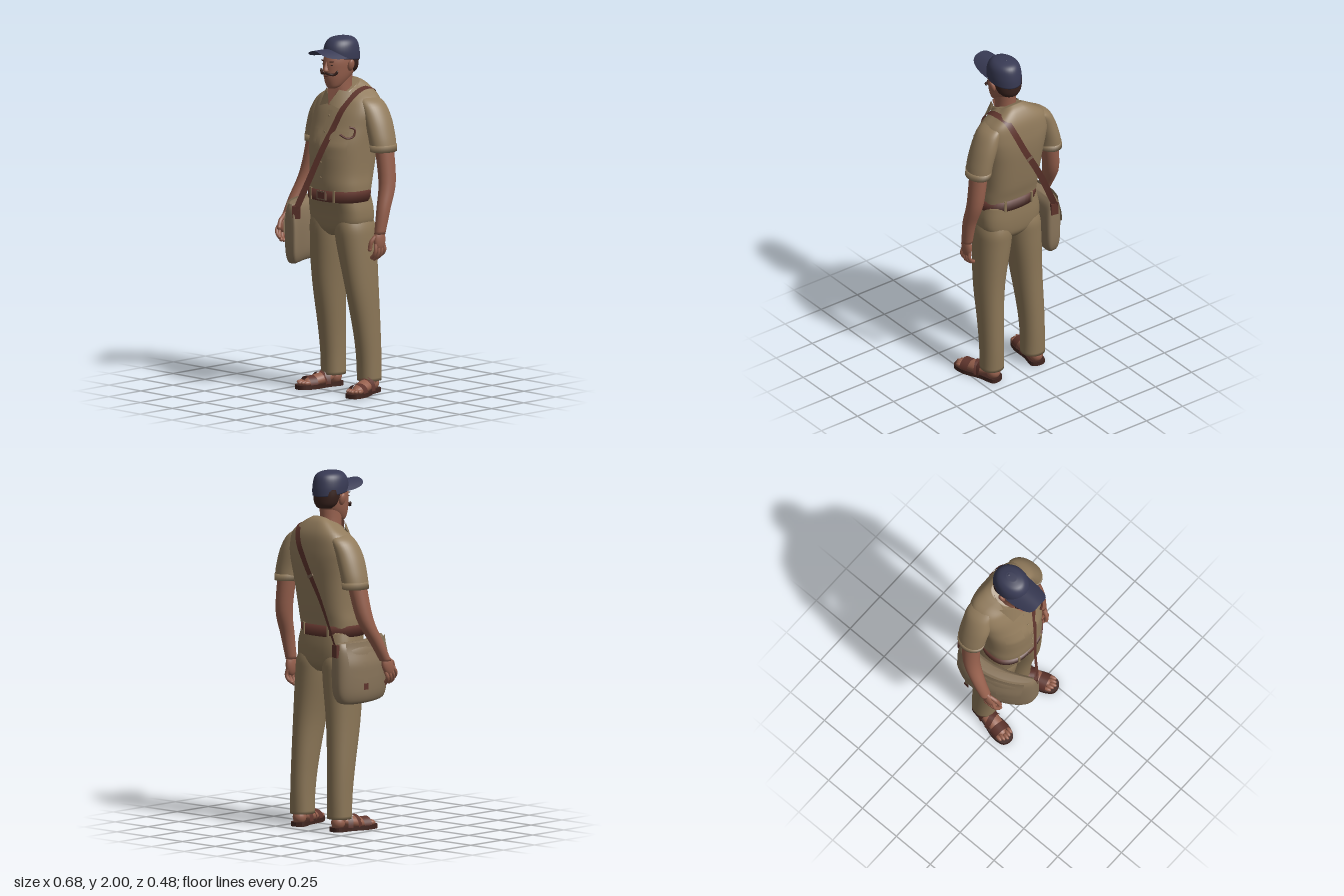
import * as THREE from 'three';

const mat = (name, color, double) => Object.assign(new THREE.MeshStandardMaterial({ color }), { name, side: double ? THREE.DoubleSide : THREE.FrontSide });

// Catmull-Rom between ring values
const cr = (a, b, c, d, t) => 0.5 * (2 * b + (c - a) * t + (2 * a - 5 * b + 4 * c - d) * t * t + (3 * b - a - 3 * c + d) * t * t * t);

// Smooth skin over horizontal oval rings [x, y, z, rx, rz, tilt], listed from bottom to top
function loft(rings, { power = 2, back = power, capped = true, n = 36, sub = 5, bend } = {}) {
  const pos = [], idx = [], last = rings.length - 1, rows = last * sub;
  const full = rings.map(r => [...r, 0].slice(0, 6));
  for (let i = 0; i <= rows; i++) {
    const k = Math.min(Math.floor(i / sub), last - 1), t = i / sub - k;
    const g = q => full[Math.max(0, Math.min(last, q))];
    const r = full[0].map((_, c) => cr(g(k - 1)[c], g(k)[c], g(k + 1)[c], g(k + 2)[c], t));
    for (let j = 0; j < n; j++) {
      const a = j / n * Math.PI * 2, s = Math.sin(a), c = Math.cos(a);
      const f = v => Math.sign(v) * Math.abs(v) ** (2 / (c < 0 ? back : power));
      pos.push(r[0] + r[3] * f(s), r[1] + r[5] * c, r[2] + r[4] * f(c));
      if (i < rows) {
        const p = i * n + j, q = i * n + (j + 1) % n;
        idx.push(p, q, q + n, p, q + n, p + n);
      }
    }
  }
  if (capped) {
    const b = pos.length / 3, top = rows * n;
    pos.push(...full[0].slice(0, 3), ...full[last].slice(0, 3));
    for (let j = 0; j < n; j++) idx.push(b, (j + 1) % n, j, b + 1, top + j, top + (j + 1) % n);
  }
  if (bend) for (let i = 0; i < pos.length; i += 3) pos[i] += bend(pos[i + 2]);
  return surface(pos, idx);
}

function surface(pos, idx) {
  const g = new THREE.BufferGeometry();
  g.setAttribute('position', new THREE.Float32BufferAttribute(pos, 3));
  g.setIndex(idx);
  g.computeVertexNormals();
  return g;
}

// Grid sheet from a rule u, v in 0..1 -> [x, y, z]
function sheet(rule, nu = 14, nv = 8) {
  const g = new THREE.PlaneGeometry(1, 1, nu, nv), p = g.attributes.position;
  for (let i = 0; i < p.count; i++) p.setXYZ(i, ...rule(p.getX(i) + 0.5, p.getY(i) + 0.5));
  g.computeVertexNormals();
  return g;
}

const path = pts => new THREE.CatmullRomCurve3(pts.map(p => new THREE.Vector3(...p)));
const tube = (pts, r, seg = 16) => new THREE.TubeGeometry(path(pts), seg, r, 8);

// Flat band that follows a path over the shoulder and faces away from the body
function ribbon(pts, width, seg) {
  const curve = path(pts);
  return sheet((u, v) => {
    const p = curve.getPoint(v), t = curve.getTangent(v), out = new THREE.Vector3(0.06, (p.y - 1.3) * 0.5, p.z + 0.07);
    return p.addScaledVector(t.cross(out).normalize(), (u - 0.5) * width).toArray();
  }, 1, seg);
}

const bagBend = z => -0.21 + 0.204 * z + 1.24 * z * z;
const TORSO = [[.015, 1.1, -.035, .174, .13], [.015, 1.17, -.038, .179, .142], [.015, 1.25, -.048, .178, .152], [.015, 1.4, -.062, .19, .163],
  [.015, 1.5, -.087, .201, .15], [.015, 1.58, -.103, .208, .134], [.015, 1.65, -.112, .184, .114, -.015], [.015, 1.695, -.1, .115, .092, -.035], [.015, 1.715, -.08, .07, .075, -.04]];

// Front of the shirt at x, y
function chest(x, y, off) {
  const k = Math.max(0, TORSO.findIndex(r => r[1] > y) - 1), a = TORSO[k], b = TORSO[k + 1];
  const t = (y - a[1]) / (b[1] - a[1]), m = i => a[i] + (b[i] - a[i]) * t;
  return [x, y, m(2) + off + m(4) * (1 - Math.abs((x - .015) / m(3)) ** 2.2) ** (1 / 2.2)];
}

export function createModel() {
  const root = new THREE.Group();
  const M = {
    shirt: mat('khaki shirt', 0x917b5c, true), trousers: mat('khaki trousers', 0x8b7657), bag: mat('canvas', 0x88745a, true),
    skin: mat('skin', 0x96604d, true), leather: mat('brown leather', 0x5e342c, true), cap: mat('navy cap', 0x383a54, true),
    hair: mat('dark hair', 0x38221d), sole: mat('dark sole', 0x40251f), metal: mat('dull buckle', 0x79614e),
  };
  const add = (name, geo, m, parent = root) => {
    const mesh = new THREE.Mesh(geo, m);
    mesh.name = name;
    parent.add(mesh);
    return mesh;
  };
  const ball = (name, m, p, s, parent) => {
    const b = add(name, new THREE.SphereGeometry(1, 20, 14), m, parent);
    b.position.set(...p);
    b.scale.set(...s);
    return b;
  };
  const box = (name, m, p, s, ry = 0) => {
    const b = add(name, new THREE.BoxGeometry(...s), m);
    b.position.set(...p);
    b.rotation.y = ry;
    return b;
  };

  // Shirt, placket, buttons and collar
  add('shirtBody', loft(TORSO, { power: 2.2, back: 3, n: 48 }), M.shirt);
  add('placket', sheet((u, v) => chest(u * .034, 1.16 + v * .43, .005), 3, 24), M.shirt);
  for (let i = 0; i < 5; i++) ball('button', M.shirt, chest(.017, 1.22 + i * .085, .006), [.006, .006, .003]);
  add('collarBand', loft([[.015, 1.655, -.075, .108, .105, -.035], [.015, 1.685, -.075, .094, .1, -.042], [.015, 1.708, -.07, .074, .087, -.042]], { capped: false }), M.shirt);
  add('openNeck', surface([-.03, 1.715, .01, .015, 1.615, .043, .06, 1.715, .01], [0, 1, 2]), M.skin);
  for (const s of [-1, 1]) {
    const c = [[.004, 1.628, .046], [.078, 1.606, .038], [.1, 1.69, -.045], [.05, 1.707, .012]].flatMap(([x, y, z]) => [.015 + s * x, y, z]);
    add('collarWing', surface(c, s > 0 ? [0, 1, 3, 1, 2, 3] : [0, 3, 1, 1, 3, 2]), M.shirt);
    // Chest pockets with scalloped flaps
    const px = u => .015 + s * (.05 + u * .1);
    add('pocket', sheet((u, v) => chest(px(u), 1.33 + v * .12, .004)), M.shirt);
    add('pocketFlap', sheet((u, v) => chest(px(u), 1.485 - (1 - v) * (.035 + .015 * Math.abs(Math.cos(u * Math.PI * 2))), .008)), M.shirt);
    // Sleeves
    const z = s > 0 ? -.135 : -.12, X = x => .015 + s * x;
    add('sleeve', loft([[X(.25), 1.375, z, .066, .08], [X(.237), 1.45, z, .065, .085], [X(.205), 1.55, z, .064, .087], [X(.168), 1.63, -.13, .054, .078], [X(.125), 1.67, -.125, .03, .055]]), M.shirt);
    add('sleeveCuff', loft([[X(.251), 1.37, z, .067, .081], [X(.247), 1.408, z, .067, .084]], { sub: 1 }), M.shirt);
  }
  add('whistleCord', tube([[.13, 1.47, .07], [.165, 1.45, .05], [.185, 1.46, .02], [.185, 1.5, .01], [.165, 1.51, .03]], .006), M.leather);

  // Trousers
  add('trouserSeat', loft([[.015, .885, -.062, .04, .085], [.015, .92, -.062, .13, .112], [.015, .96, -.061, .182, .122], [.015, 1.03, -.056, .188, .127], [.015, 1.11, -.042, .174, .132]], { power: 3 }), M.trousers);
  add('rightTrouserLeg', loft([[-.118, .07, -.125, .067, .068], [-.118, .2, -.122, .066, .072], [-.115, .36, -.108, .07, .082], [-.104, .6, -.08, .081, .103], [-.088, .85, -.066, .098, .12], [-.08, .96, -.062, .094, .119], [-.06, 1.07, -.05, .06, .08]], { power: 2.2 }), M.trousers);
  add('leftTrouserLeg', loft([[.164, .07, -.125, .065, .068], [.163, .2, -.122, .064, .072], [.16, .36, -.108, .067, .082], [.15, .6, -.08, .077, .103], [.121, .85, -.066, .097, .12], [.11, .96, -.062, .094, .119], [.09, 1.07, -.05, .06, .08]], { power: 2.2 }), M.trousers);

  // Belt, buckle and loops
  add('belt', loft([[.015, 1.085, -.04, .183, .142], [.015, 1.147, -.04, .182, .145]], { power: 2.4, sub: 1, n: 48 }), M.leather);
  box('beltBuckle', M.metal, [.02, 1.119, .105], [.07, .05, .008]);
  box('buckleInset', M.leather, [.02, 1.119, .108], [.054, .036, .006]);
  for (const s of [-1, 1]) {
    box('beltLoop', M.trousers, [.015 + s * .09, 1.119, .092], [.014, .066, .01], s * .3);
    box('beltLoop', M.trousers, [.015 + s * .09, 1.119, -.173], [.014, .066, .01], -s * .3);
  }

  // Arms and hands
  add('rightArm', loft([[-.307, .955, .045, .031, .033], [-.3, 1.05, -.008, .037, .04], [-.274, 1.2, -.085, .046, .049], [-.235, 1.42, -.115, .05, .057]]), M.skin);
  add('leftArm', loft([[.297, .915, -.075, .029, .033], [.3, 1.05, -.1, .037, .041], [.289, 1.2, -.14, .045, .051], [.262, 1.42, -.14, .05, .057]]), M.skin);
  function hand(name, s, p, lean) {
    const g = new THREE.Group();
    g.name = name;
    g.position.set(...p);
    g.rotation.x = lean;
    root.add(g);
    ball('palm', M.skin, [0, -.045, 0], [.022, .062, .04], g);
    for (let i = 0; i < 4; i++) {
      const z = .03 - i * .02, l = [.9, 1, .95, .8][i];
      add('finger', tube([[0, -.065, z], [s * .006, -.065 - .04 * l, z * 1.15], [-s * .006, -.065 - .07 * l, z * 1.15], [-s * .026, -.065 - .088 * l, z]], .0105), M.skin, g);
      ball('fingertip', M.skin, [-s * .026, -.065 - .088 * l, z], [.0105, .0105, .0105], g);
    }
    add('thumb', tube([[-s * .004, -.02, .025], [-s * .014, -.055, .05], [-s * .022, -.095, .052]], .012), M.skin, g);
    ball('thumbTip', M.skin, [-s * .022, -.095, .052], [.012, .014, .012], g);
  }
  hand('rightHand', -1, [-.307, .965, .045], -.45);
  hand('leftHand', 1, [.298, .925, -.075], -.05);

  // Feet in open sandals
  function foot(name, x, yaw) {
    const g = new THREE.Group();
    g.name = name;
    g.position.set(x, 0, -.13);
    g.rotation.y = yaw;
    root.add(g);
    const outline = new THREE.Shape(new THREE.SplineCurve([[0, .06], [.042, .04], [.042, -.05], [.056, -.15], [.04, -.222], [0, -.24], [-.04, -.222], [-.056, -.15], [-.042, -.05], [-.042, .04], [0, .06]].map(p => new THREE.Vector2(...p))).getPoints(40));
    add('sandalSole', new THREE.ExtrudeGeometry(outline, { depth: .024, bevelEnabled: false }).rotateX(-Math.PI / 2), M.sole, g);
    ball('heel', M.skin, [0, .05, -.015], [.038, .04, .04], g);
    ball('ankle', M.skin, [0, .085, 0], [.038, .06, .04], g);
    const instep = ball('instep', M.skin, [0, .045, .085], [.044, .034, .115], g);
    instep.rotation.x = .16;
    for (let i = -2; i <= 2; i++) ball('toe', M.skin, [i * .0185, .035, .208 - Math.abs(i) * .009], [.011, .012, .024], g);
    // Bands over the foot
    const band = (z, h, w, ry) => {
      const b = add('sandalBand', new THREE.CylinderGeometry(1, 1, 1, 20, 1, true, -Math.PI / 2, Math.PI).rotateX(-Math.PI / 2), M.leather, g);
      b.position.set(0, .02, z);
      b.scale.set(.053, h, w);
      b.rotation.y = ry;
    };
    band(.155, .05, .05, 0);
    band(.085, .068, .032, .35);
    band(.05, .082, .03, -.25);
  }
  foot('rightFoot', -.13, -.18);
  foot('leftFoot', .172, .3);

  // Neck, head and face
  add('neck', loft([[.015, 1.6, -.085, .065, .075], [.015, 1.7, -.055, .056, .066], [.017, 1.8, -.055, .056, .066]]), M.skin);
  add('head', loft([[.018, 1.712, .02, .022, .022], [.018, 1.728, .005, .042, .048], [.018, 1.77, -.02, .061, .085], [.018, 1.82, -.038, .072, .106], [.018, 1.87, -.043, .076, .108], [.018, 1.94, -.05, .068, .09]]), M.skin);
  add('hair', loft([[.018, 1.795, -.09, .05, .05], [.018, 1.82, -.088, .07, .062], [.018, 1.86, -.082, .08, .07], [.018, 1.9, -.08, .08, .07]]), M.hair);
  add('nose', loft([[.018, 1.808, .062, .012, .01], [.018, 1.816, .068, .017, .019], [.018, 1.84, .064, .01, .015], [.018, 1.866, .056, .008, .01]], { n: 16 }), M.skin);
  for (const s of [-1, 1]) {
    ball('ear', M.skin, [.018 + s * .083, 1.843, -.045], [.014, .034, .022]).rotation.z = -s * .25;
    ball('eye', M.hair, [.018 + s * .031, 1.848, .055], [.01, .0035, .006]);
    ball('eyebrow', M.hair, [.018 + s * .031, 1.867, .056], [.018, .0035, .007]).rotation.z = s * .12;
    add('moustacheHalf', tube([[.018, 1.804, .074], [.018 + s * .025, 1.798, .069], [.018 + s * .048, 1.796, .053], [.018 + s * .062, 1.808, .042]], .0075), M.hair);
    ball('moustacheTip', M.hair, [.018 + s * .062, 1.81, .042], [.006, .01, .006]);
  }
  ball('mouth', M.leather, [.018, 1.783, .067], [.02, .004, .004]);

  // Cap with arched brim
  add('capCrown', loft([[.022, 1.875, -.05, .089, .111, .014], [.022, 1.92, -.05, .089, .11, .01], [.022, 1.962, -.05, .08, .098], [.022, 1.987, -.05, .058, .074], [.022, 1.998, -.05, .022, .03]]), M.cap);
  ball('capButton', M.cap, [.022, 1.994, -.07], [.009, .006, .009]);
  add('capBrim', sheet((u, v) => {
    const a = Math.sin((u - .5) * Math.PI), z0 = -.035 + .085 * Math.sqrt(1 - a * a), z1 = -.02 + .182 * (1 - Math.abs(a) ** 5) ** .5;
    return [.022 + a * .091, 1.938 - .052 * a * a - .002 * v, z0 + (z1 - z0) * (1 - v)];
  }, 32, 8), M.cap);

  // Shoulder bag with flap and closures
  add('bagBody', loft([[0, .722, 0, .02, .17], [0, .738, 0, .045, .21], [0, .8, 0, .062, .232], [0, .94, 0, .065, .235], [0, 1.03, 0, .052, .23], [0, 1.068, 0, .025, .215]], { power: 3.6, n: 56, bend: bagBend }), M.bag);
  const bagSide = (z, y, off) => {
    const t = THREE.MathUtils.smoothstep(y, .93, 1.075);
    return [bagBend(z) - off - (.066 - .032 * t) * (1 - Math.abs(z / .25) ** 3.6) ** (1 / 3.6), y, z];
  };
  add('bagFlap', sheet((u, v) => {
    const a = (u - .5) * 2;
    return bagSide(a * .2, 1.07 - (1 - v) * (.2 - .035 * a ** 6), .008);
  }, 24, 10), M.bag);
  for (const z of [-.1, .1]) {
    add('closureStrap', sheet((u, v) => bagSide(z + (u - .5) * .03, .82 + v * .14, .014), 2, 8), M.bag);
    add('closureTip', sheet((u, v) => bagSide(z + (u - .5) * .034, .808 + v * .035, .017), 2, 3), M.leather);
  }
  box('frontStrapTab', M.leather, [-.07, 1.025, .213], [.045, .07, .02], .6);
  box('rearStrapTab', M.leather, [-.19, 1.025, -.23], [.045, .07, .02], -.2);

  // Long strap across the chest, over the left shoulder and down the back
  add('shoulderStrap', ribbon([[-.065, 1.04, .22], [-.022, 1.2, .165], [.035, 1.38, .113], [.075, 1.5, .068], [.108, 1.61, .022], [.13, 1.69, -.06], [.134, 1.71, -.12], [.118, 1.695, -.2], [.088, 1.62, -.24], [.03, 1.5, -.246], [-.08, 1.3, -.24], [-.195, 1.04, -.236]], .036, 90), M.leather);
  box('strapSlide', M.metal, [-.01, 1.43, -.246], [.04, .016, .006]).rotation.z = -.5;
  return root;
}
